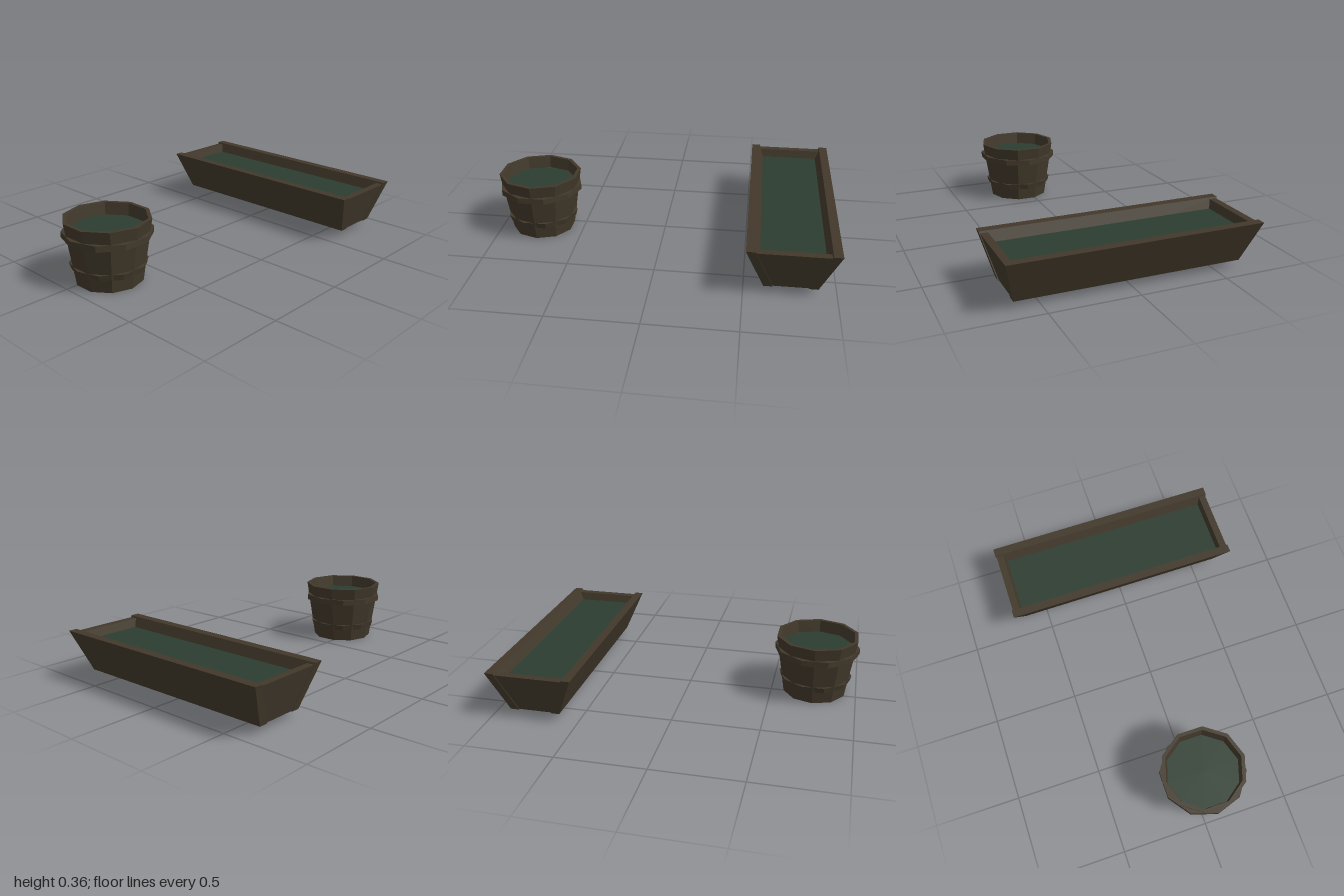
import * as THREE from 'three';

const mat = (name, color, extra = {}) => {
  const m = new THREE.MeshStandardMaterial({ color, ...extra });
  m.name = name;
  return m;
};

export function createModel() {
  const wood = mat('dark wood', 0x42392b, { flatShading: true });
  const water = mat('dark green water', 0x2d3d30, { flatShading: true });

  const add = (parent, name, geometry, material) => {
    const mesh = new THREE.Mesh(geometry, material);
    mesh.name = name;
    parent.add(mesh);
    return mesh;
  };

  // Six-sided board given by x and z ranges at its bottom and top
  const board = (y0, y1, bottom, top) => {
    const g = new THREE.BoxGeometry(1, 1, 1).toNonIndexed();
    const p = g.attributes.position;
    for (let i = 0; i < p.count; i++) {
      const up = p.getY(i) > 0;
      const r = up ? top : bottom;
      p.setXYZ(i, r[p.getX(i) > 0 ? 1 : 0], up ? y1 : y0, r[p.getZ(i) > 0 ? 3 : 2]);
    }
    g.computeVertexNormals();
    return g;
  };

  const lathe = (points, sides) =>
    new THREE.LatheGeometry(points.map(([r, y]) => new THREE.Vector2(r, y)), sides);

  const model = new THREE.Group();
  model.name = 'bucketAndTrough';

  // Bucket: ten flat staves, slightly wider at the rim
  const SIDES = 10;
  const bucket = new THREE.Group();
  bucket.name = 'bucket';
  bucket.position.set(-0.753, 0, 0.056);
  model.add(bucket);
  add(bucket, 'bucketWall', lathe(
    [[0, 0], [0.187, 0], [0.243, 0.36], [0.222, 0.36], [0.208, 0.27]], SIDES), wood);
  const surface = new THREE.CircleGeometry(0.212, SIDES, Math.PI / 2).rotateX(-Math.PI / 2);
  add(bucket, 'bucketWater', surface, water).position.y = 0.29;

  // Hoops, turned half a stave against the wall
  const hoop = (name, y0, y1, r0, r1) => {
    const w = 0.035;
    const ring = add(bucket, name, lathe(
      [[r0 - w, y0], [r0, y0], [r1, y1], [r1 - w, y1], [r0 - w, y0]], SIDES), wood);
    ring.rotation.y = Math.PI / SIDES;
  };
  hoop('upperHoop', 0.256, 0.29, 0.247, 0.247);
  hoop('lowerHoop', 0.075, 0.11, 0.204, 0.214);

  // Trough: sloping side boards with end boards set between them
  const trough = new THREE.Group();
  trough.name = 'trough';
  trough.position.x = 0.753;
  model.add(trough);
  for (const s of [-1, 1]) {
    const side = s > 0
      ? board(0.04, 0.283, [0.095, 0.145, -0.64, 0.64], [0.197, 0.247, -0.705, 0.705])
      : board(0.04, 0.283, [-0.145, -0.095, -0.64, 0.64], [-0.247, -0.197, -0.705, 0.705]);
    add(trough, s > 0 ? 'leftBoard' : 'rightBoard', side, wood);
    const end = s > 0
      ? board(0.042, 0.273, [-0.12, 0.12, 0.592, 0.635], [-0.215, 0.215, 0.657, 0.699])
      : board(0.042, 0.273, [-0.12, 0.12, -0.635, -0.592], [-0.215, 0.215, -0.699, -0.657]);
    add(trough, s > 0 ? 'frontBoard' : 'backBoard', end, wood);
  }
  add(trough, 'troughFloor',
    board(0.041, 0.07, [-0.12, 0.12, -0.61, 0.61], [-0.13, 0.13, -0.62, 0.62]), wood);
  const sheet = new THREE.PlaneGeometry(0.37, 1.294).rotateX(-Math.PI / 2);
  add(trough, 'troughWater', sheet, water).position.y = 0.225;

  return model;
}
